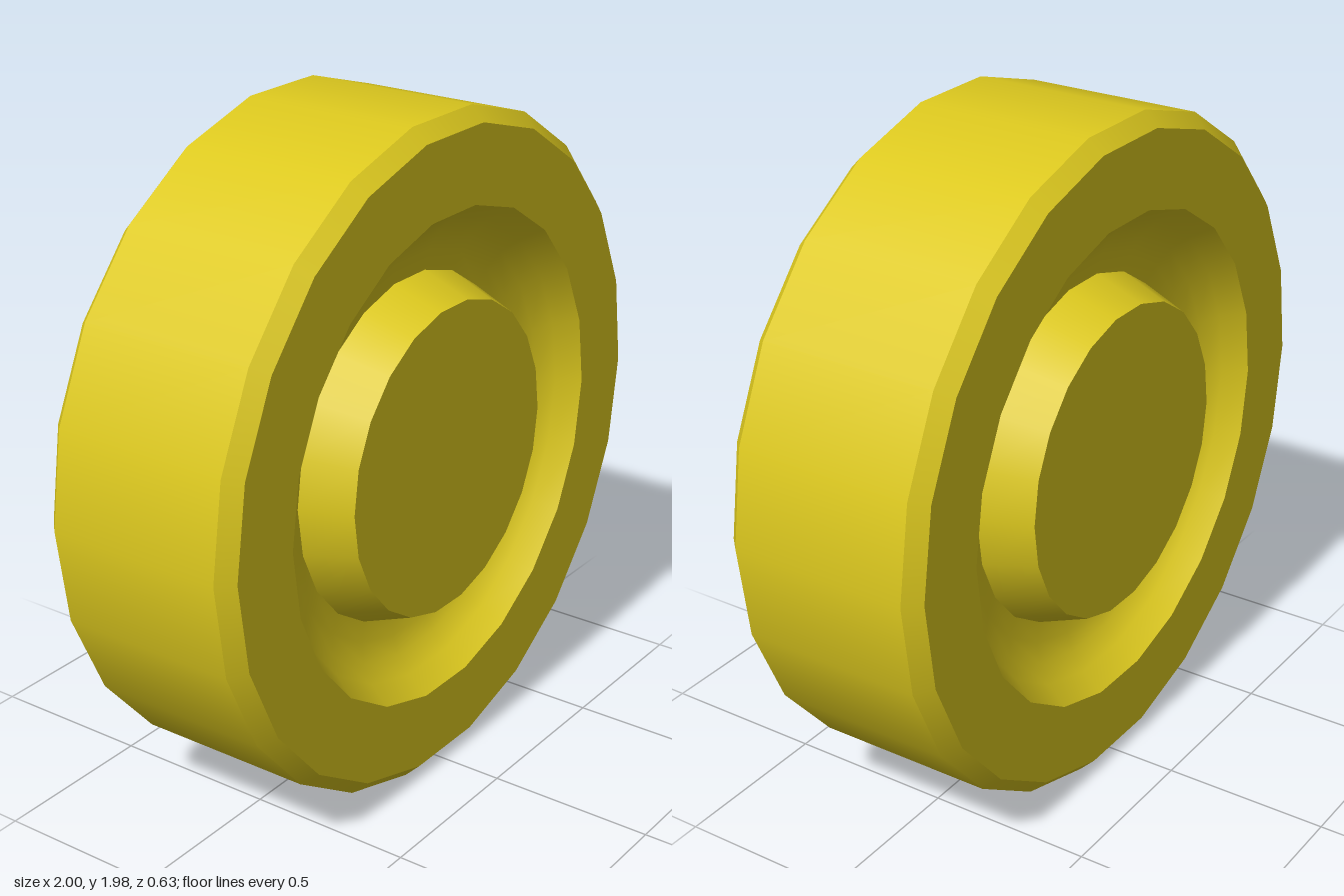
import * as THREE from 'three';

const SIDES = 22;
const CENTRE_Y = 0.99;

export function createModel() {
  const group = new THREE.Group();
  group.name = 'wheel';
  const material = new THREE.MeshStandardMaterial({ color: 0xdcc81e });

  // Revolves a [radius, depth] profile about the z axle.
  // Every corner listed in `sharp` is doubled, so its edge stays crisp.
  function revolve(name, profile, sharp = []) {
    const points = [];
    profile.forEach(([r, d], i) => {
      points.push(new THREE.Vector2(r, d));
      if (sharp.includes(i)) points.push(new THREE.Vector2(r, d));
    });
    const geometry = new THREE.LatheGeometry(points, SIDES, Math.PI / 2);
    geometry.rotateX(Math.PI / 2);
    const mesh = new THREE.Mesh(geometry, material);
    mesh.name = name;
    return mesh;
  }

  // Outer tread band
  const tread = revolve('tread', [[1, -0.27], [1, 0.27]]);
  tread.position.y = CENTRE_Y;
  group.add(tread);

  // Front and back faces are the same, turned half way round the upright axis
  for (const [name, turn] of [['frontFace', 0], ['backFace', Math.PI]]) {
    const face = new THREE.Group();
    face.name = name;
    face.position.y = CENTRE_Y;
    face.rotation.y = turn;

    // Bevelled edge and flat side wall
    face.add(revolve('sideWall', [[1, 0.27], [0.957, 0.313], [0.73, 0.313]], [1]));

    // Curved dish sinking towards the hub
    face.add(revolve('dish', [[0.73, 0.313], [0.685, 0.245], [0.635, 0.202], [0.58, 0.178], [0.52, 0.168]]));

    // Tapered hub with a flat cap
    face.add(revolve('hub', [[0.52, 0.168], [0.465, 0.317], [0, 0.317]], [1]));

    group.add(face);
  }
  return group;
}
